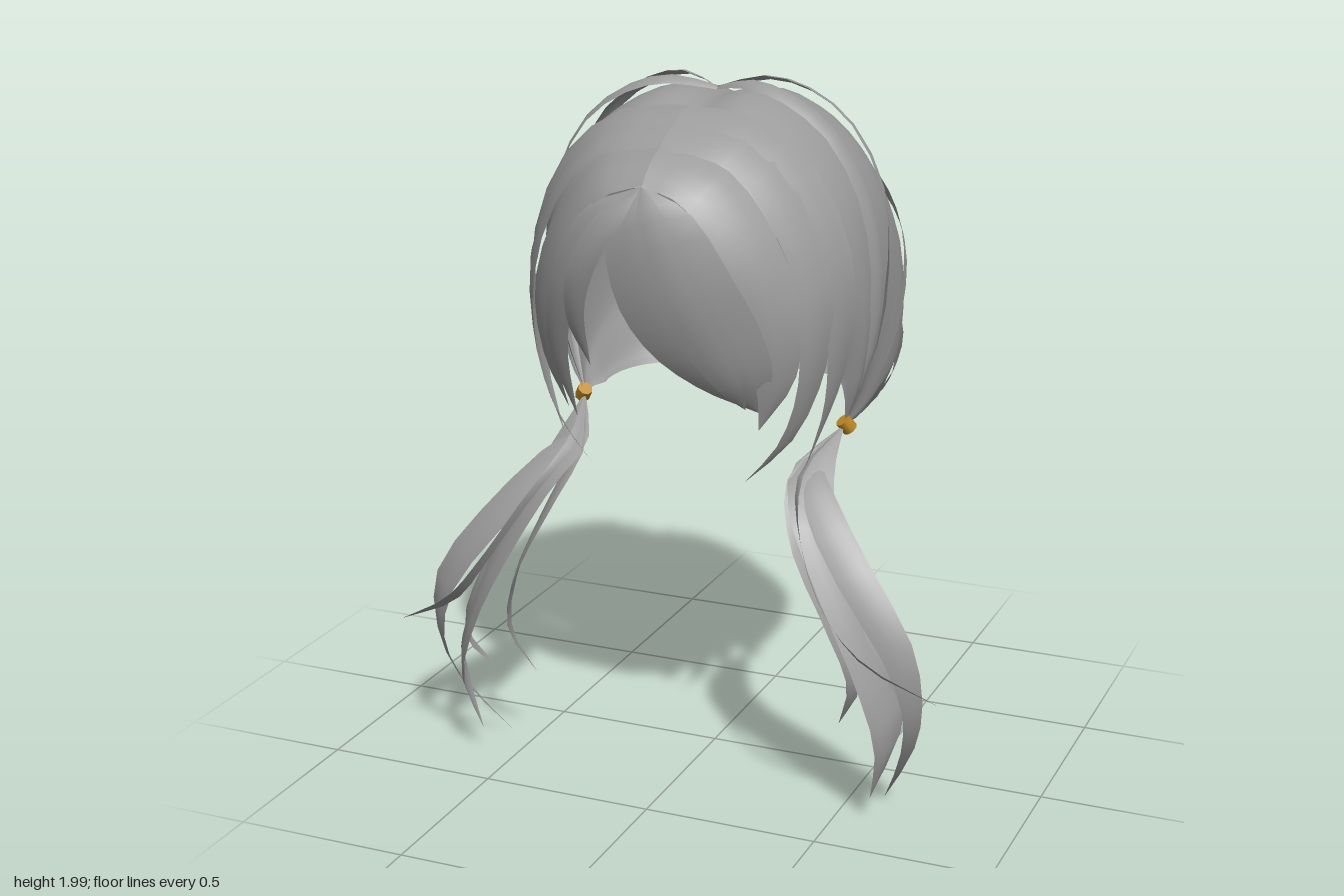
import * as THREE from 'three';

const hair = new THREE.MeshStandardMaterial({ color: 0x9c9c9c, side: THREE.DoubleSide });
hair.name = 'hairGrey';
const gold = new THREE.MeshStandardMaterial({ color: 0xc08a24 });
gold.name = 'tieGold';

const TIE = [0.4, 1.05, 0.02];
const { lerp, smoothstep } = THREE.MathUtils;
const curve = pts => new THREE.CatmullRomCurve3(pts.map(p => new THREE.Vector3(...p)), false, 'centripetal');

// Smooth grid surface from a function of two parameters
function grid(rows, cols, point) {
  const pos = [], idx = [];
  for (let i = 0; i <= rows; i++) for (let j = 0; j <= cols; j++) pos.push(...point(i / rows, j / cols));
  for (let i = 0; i < rows; i++) for (let j = 0; j < cols; j++) {
    const a = i * (cols + 1) + j, b = a + cols + 1;
    idx.push(a, b, a + 1, b, b + 1, a + 1);
  }
  const g = new THREE.BufferGeometry();
  g.setAttribute('position', new THREE.Float32BufferAttribute(pos, 3));
  g.setIndex(idx);
  g.computeVertexNormals();
  return g;
}

// Lock of hair lofted between two edges, bulging away from a centre
function lock(edgeA, edgeB, bulge = 0.1, centre = [0, 1.4, 0], side = 1) {
  const a = curve(edgeA), b = curve(edgeB), c = new THREE.Vector3(...centre);
  return grid(14, 4, (u, v) => {
    const p = a.getPoint(u), q = b.getPoint(u), w = p.distanceTo(q);
    const m = p.lerp(q, v);
    const out = m.clone().sub(c).normalize();
    m.addScaledVector(out, bulge * w * 4 * v * (1 - v));
    return [m.x * side, m.y, m.z];
  });
}

// Cap outline in the middle plane (back hem to front) and half cross-section from tie to parting
const outline = curve([[0, 1.05, -0.445], [0, 1.1, -0.487], [0, 1.235, -0.52], [0, 1.39, -0.548], [0, 1.68, -0.485],
  [0, 1.78, -0.42], [0, 1.92, -0.26], [0, 1.965, -0.07], [0, 1.965, 0.06], [0, 1.935, 0.19], [0, 1.89, 0.3],
  [0, 1.83, 0.37], [0, 1.77, 0.42]]);
const section = curve([[0.4, 0, 0], [0.452, 0.16, 0], [0.48, 0.4, 0], [0.45, 0.65, 0], [0.37, 0.82, 0],
  [0.25, 0.94, 0], [0.12, 0.995, 0], [0, 0.97, 0]]);

// Part of the fan-shaped cap between two outline positions, narrower at the hem and the front
function fan(t0, t1, rows, lift = 1) {
  return grid(rows, 40, (u, v) => {
    const t = lerp(t0, t1, u), p = outline.getPoint(t);
    const s = section.getPoint(1 - Math.abs(2 * v - 1));
    const width = lerp(0.81, 1, smoothstep(t, -0.1, 0.36)) - 0.12 * smoothstep(t, 0.7, 0.95);
    const x = s.x * lerp(1, width * lift, Math.min(1, s.y * 4));
    return [Math.sign(0.5 - v) * x, 1.05 + (p.y - 1.05) * s.y * lift, 0.02 + (p.z - 0.02) * s.y * lift];
  });
}

export function createModel() {
  const model = new THREE.Group();
  const add = (name, geo, mat = hair) => {
    const m = new THREE.Mesh(geo, mat);
    m.name = name;
    model.add(m);
    return m;
  };

  // Cap and raised bands combed towards the ties
  add('cap', fan(0, 1, 36));
  add('upperBackBand', fan(0.353, 0.412, 3, 1.022));
  add('lowerBackBand', fan(0.156, 0.229, 3, 1.018));

  for (const side of [1, -1]) {
    const pre = side > 0 ? 'left' : 'right';
    const put = (name, a, b, bulge, centre) => add(pre + name, lock(a, b, bulge, centre, side));

    // Loose strands arching over the crown, tilted so the inner edge sits nearer the head
    for (const [name, z, w] of [['FrontArch', 0.055, 0.024], ['BackArch', -0.11, -0.027]]) {
      const edge = (d, k) => [TIE, [0.48 - k, 1.28, lerp(0.02, z, 0.35) + d * 0.5], [0.5 - k, 1.5, lerp(0.02, z, 0.6) + d * 0.8],
        [0.465 - k, 1.7, z * 0.9 + d], [0.37 - k * 0.8, 1.87 - k * 0.6, z + d], [0.24 - k * 0.4, 1.965 - k, z + d],
        [0.12, 1.995 - k, z * 0.75 + d], [0, 1.965 - k * 0.5, -0.02 + d * 0.3]];
      put(name, edge(-w, 0), edge(w, 0.018), 0.1);
    }

    // Face-framing locks
    put('RearFrameLock',
      [[0, 1.945, 0.18], [0.2, 1.92, 0.18], [0.37, 1.79, 0.18], [0.465, 1.58, 0.175], [0.475, 1.4, 0.17], [0.45, 1.25, 0.17], [0.42, 1.14, 0.2], [0.36, 0.98, 0.23]],
      [[0, 1.91, 0.29], [0.19, 1.885, 0.285], [0.33, 1.76, 0.28], [0.42, 1.57, 0.275], [0.435, 1.38, 0.27], [0.43, 1.24, 0.255], [0.41, 1.13, 0.24], [0.36, 0.98, 0.23]], 0.04);
    put('MiddleFrameLock',
      [[0, 1.92, 0.26], [0.2, 1.89, 0.26], [0.35, 1.75, 0.26], [0.44, 1.53, 0.26], [0.44, 1.36, 0.255], [0.41, 1.22, 0.26], [0.35, 1.08, 0.3], [0.23, 0.96, 0.34]],
      [[0, 1.86, 0.38], [0.18, 1.83, 0.375], [0.31, 1.69, 0.37], [0.385, 1.48, 0.36], [0.39, 1.32, 0.355], [0.37, 1.19, 0.345], [0.32, 1.07, 0.34], [0.23, 0.96, 0.34]], 0.05);
    put('FrontFrameLock',
      [[0, 1.87, 0.36], [0.18, 1.82, 0.36], [0.31, 1.67, 0.36], [0.39, 1.45, 0.345], [0.37, 1.26, 0.34], [0.28, 1.12, 0.37]],
      [[0, 1.785, 0.49], [0.12, 1.74, 0.5], [0.22, 1.57, 0.495], [0.27, 1.38, 0.455], [0.29, 1.24, 0.41], [0.28, 1.12, 0.37]], 0.09);

    // Pigtail strands
    const tc = [0.4, 0.55, 0.2];
    put('TailOuter',
      [TIE, [0.37, 0.99, 0.12], [0.44, 0.93, 0.23], [0.59, 0.76, 0.33], [0.72, 0.57, 0.36], [0.745, 0.39, 0.33], [0.71, 0.23, 0.28], [0.59, 0.01, 0.17]],
      [TIE, [0.34, 0.97, 0.17], [0.37, 0.9, 0.28], [0.51, 0.72, 0.38], [0.65, 0.53, 0.4], [0.7, 0.37, 0.37], [0.68, 0.22, 0.31], [0.59, 0.01, 0.17]], 0.08, tc);
    put('TailInner',
      [TIE, [0.42, 0.97, 0.15], [0.46, 0.86, 0.25], [0.55, 0.7, 0.27], [0.63, 0.52, 0.27], [0.68, 0.32, 0.29], [0.6, 0.08, 0.33]],
      [TIE, [0.31, 0.96, 0.2], [0.36, 0.86, 0.33], [0.47, 0.66, 0.39], [0.57, 0.46, 0.405], [0.63, 0.26, 0.39], [0.6, 0.08, 0.33]], 0.1, tc);
    put('TailShort',
      [TIE, [0.34, 0.96, 0.19], [0.39, 0.82, 0.28], [0.49, 0.6, 0.28], [0.54, 0.38, 0.25], [0.47, 0.24, 0.23]],
      [TIE, [0.31, 0.95, 0.22], [0.36, 0.8, 0.34], [0.47, 0.58, 0.36], [0.52, 0.4, 0.31], [0.47, 0.24, 0.23]], 0.08, tc);
    put('TailCurl',
      [TIE, [0.4, 0.95, 0.19], [0.5, 0.75, 0.29], [0.62, 0.54, 0.31], [0.68, 0.37, 0.27], [0.62, 0.2, 0.18]],
      [TIE, [0.37, 0.95, 0.2], [0.47, 0.73, 0.33], [0.59, 0.52, 0.35], [0.67, 0.34, 0.29], [0.62, 0.2, 0.18]], 0.08, tc);
    put('TailFlyaway',
      [TIE, [0.36, 0.97, 0.23], [0.41, 0.85, 0.4], [0.51, 0.68, 0.488], [0.62, 0.55, 0.478], [0.82, 0.42, 0.4]],
      [TIE, [0.34, 0.96, 0.22], [0.4, 0.84, 0.375], [0.5, 0.67, 0.458], [0.61, 0.53, 0.448], [0.82, 0.42, 0.4]], 0.05, tc);

    // Hair tie
    const tie = add(pre + 'HairTie', new THREE.CylinderGeometry(0.022, 0.022, 0.038, 8), gold);
    tie.position.set(0.405 * side, 1.05, 0.02);
    tie.rotation.set(0.5, 0, 0.5 * side);
  }

  // Fringe fanning out from the front parting
  const root = [0, 1.785, 0.495];
  add('fringeSweep', lock(
    [root, [-0.08, 1.67, 0.54], [-0.06, 1.48, 0.53], [0.02, 1.34, 0.495], [0.14, 1.24, 0.44], [0.28, 1.17, 0.37]],
    [root, [0.14, 1.73, 0.51], [0.25, 1.57, 0.495], [0.32, 1.4, 0.44], [0.33, 1.28, 0.4], [0.28, 1.17, 0.37]], 0.1));
  add('fringeSweepOver', lock(
    [root, [0.01, 1.7, 0.555], [0.06, 1.5, 0.555], [0.13, 1.35, 0.51], [0.2, 1.24, 0.45], [0.25, 1.18, 0.39]],
    [root, [0.08, 1.73, 0.545], [0.18, 1.55, 0.54], [0.25, 1.38, 0.485], [0.27, 1.27, 0.44], [0.25, 1.18, 0.39]], 0.06));
  add('fringeMiddle', lock(
    [root, [-0.12, 1.7, 0.525], [-0.21, 1.54, 0.52], [-0.225, 1.4, 0.485], [-0.18, 1.27, 0.44]],
    [root, [-0.03, 1.7, 0.55], [-0.1, 1.59, 0.55], [-0.16, 1.45, 0.515], [-0.18, 1.27, 0.44]], 0.08));
  add('fringeSide', lock(
    [root, [-0.17, 1.71, 0.49], [-0.28, 1.52, 0.465], [-0.32, 1.3, 0.41], [-0.25, 1.1, 0.38]],
    [root, [-0.06, 1.7, 0.535], [-0.17, 1.52, 0.52], [-0.24, 1.32, 0.455], [-0.25, 1.1, 0.38]], 0.08));
  return model;
}
